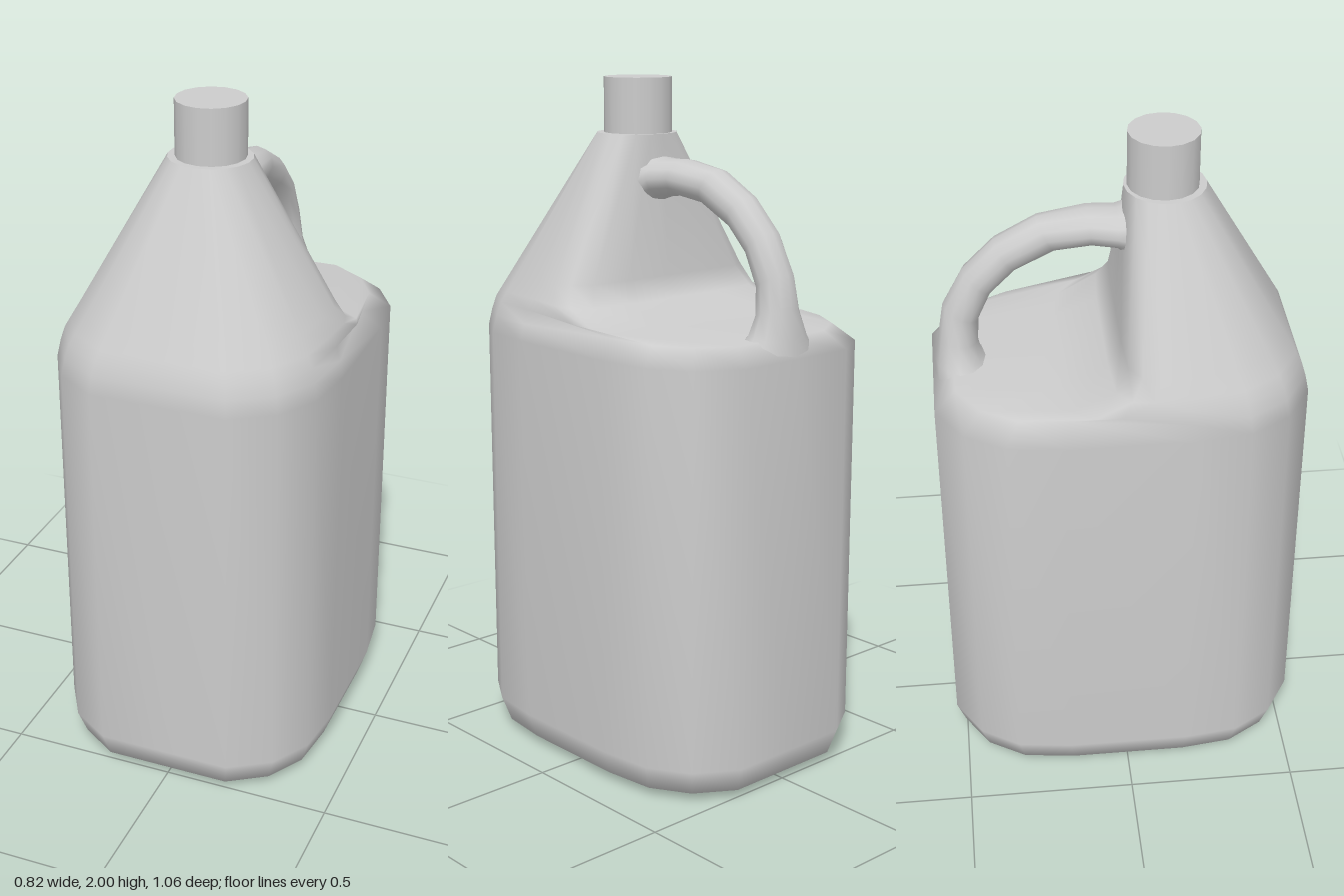
import * as THREE from 'three';

const material = new THREE.MeshStandardMaterial({ color: 0xcccccc });
const V = (x, y, z) => new THREE.Vector3(x, y, z);

// Skin closed rings (counter-clockwise about the path) and close both ends with hard-edged caps
function loft(rings) {
  const n = rings[0].length;
  const pos = [], index = [];
  rings.forEach((ring) => ring.forEach((p) => pos.push(p.x, p.y, p.z)));
  for (let j = 0; j < rings.length - 1; j++) {
    for (let i = 0; i < n; i++) {
      const k = (i + 1) % n;
      const a = j * n + i, b = j * n + k, c = a + n, d = b + n;
      index.push(a, b, c, b, d, c);
    }
  }
  [rings[0], rings[rings.length - 1]].forEach((ring, end) => {
    const start = pos.length / 3;
    const mid = V(0, 0, 0);
    ring.forEach((p) => { pos.push(p.x, p.y, p.z); mid.addScaledVector(p, 1 / n); });
    pos.push(mid.x, mid.y, mid.z);
    for (let i = 0; i < n; i++) {
      const a = start + i, b = start + (i + 1) % n;
      if (end) index.push(start + n, a, b);
      else index.push(start + n, b, a);
    }
  });
  const g = new THREE.BufferGeometry();
  g.setAttribute('position', new THREE.Float32BufferAttribute(pos, 3));
  g.setIndex(index);
  g.computeVertexNormals();
  return g;
}

// Complete a half ring (front to back on the +x side) by mirroring it
const mirrorRing = (half) =>
  [...half, ...half.slice(1, -1).reverse().map((p) => V(-p.x, p.y, p.z))];

// Half outline of the body, x and z from front to back
const outline = [[0, 0.53], [0.2, 0.53], [0.32, 0.455], [0.39, 0.34], [0.41, 0.18],
  [0.41, -0.18], [0.39, -0.34], [0.32, -0.455], [0.2, -0.53], [0, -0.53]];
const inset = (d, y) =>
  outline.map(([x, z]) => V(x * (1 - d / 0.41), y, z * (1 - d / 0.53)));

function bodyGeometry() {
  const mouth = outline.map((_, i) => {
    const a = (i / 9) * Math.PI;
    return V(0.12 * Math.sin(a), 1.84, 0.135 + 0.115 * Math.cos(a));
  });
  const shoulder = inset(0.022, 1.35);

  // Front columns rise steadily to the mouth
  const frontAt = (y) => shoulder.slice(0, 5).map((p, i) => p.clone().lerp(mouth[i], (y - 1.35) / 0.49));
  // Back columns run over the ledge, then up the wall behind the neck
  const ledgeRim = inset(0.06, 1.31).slice(5);
  const ledgeInner = [V(0.385, 1.335, -0.02), V(0.36, 1.32, -0.09), V(0.3, 1.31, -0.15), V(0.18, 1.31, -0.17), V(0, 1.31, -0.17)];
  const fillet = [V(0.375, 1.375, 0.07), V(0.36, 1.37, 0.01), V(0.31, 1.37, -0.03), V(0.17, 1.37, -0.04), V(0, 1.37, -0.04)];
  const wall = [V(0.35, 1.43, 0.09), V(0.335, 1.43, 0.04), V(0.28, 1.43, 0.005), V(0.15, 1.43, 0), V(0, 1.43, 0)];
  const frontLow = inset(0.01, 1.31).slice(0, 5);

  return loft([
    inset(0.1, 0), inset(0.025, 0.025), inset(0, 0.1), inset(0, 1.26),
    [...frontLow, ...ledgeRim],
    [...frontAt(1.35), ...ledgeInner],
    [...frontAt(1.38), ...fillet],
    [...frontAt(1.43), ...wall],
    mouth,
  ].map(mirrorRing));
}

// Handle stations: outer z, y, inner z, y, half width
const stations = [
  [0.06, 1.79, 0.06, 1.62, 0.1], [0, 1.77, 0, 1.66, 0.085], [-0.08, 1.775, -0.07, 1.67, 0.076],
  [-0.22, 1.755, -0.17, 1.655, 0.058], [-0.34, 1.69, -0.28, 1.6, 0.057],
  [-0.43, 1.6, -0.35, 1.53, 0.057], [-0.49, 1.49, -0.39, 1.44, 0.057],
  [-0.507, 1.39, -0.395, 1.37, 0.066], [-0.52, 1.31, -0.385, 1.32, 0.095],
  [-0.525, 1.25, -0.35, 1.28, 0.14],
];

function handleGeometry(sides = 12) {
  return loft(stations.map(([oz, oy, iz, iy, w]) => {
    const outer = V(0, oy, oz), center = V(0, (oy + iy) / 2, (oz + iz) / 2);
    const radial = outer.sub(center);
    return Array.from({ length: sides }, (_, i) => {
      const a = (i / sides) * Math.PI * 2;
      const p = center.clone().addScaledVector(radial, Math.cos(a));
      p.x = w * Math.sin(a);
      return p;
    });
  }));
}

export function createModel() {
  const group = new THREE.Group();
  group.name = 'jug';
  const add = (name, geometry) => {
    const mesh = new THREE.Mesh(geometry, material);
    mesh.name = name;
    group.add(mesh);
    return mesh;
  };
  add('body', bodyGeometry());
  add('handle', handleGeometry());
  add('cap', new THREE.CylinderGeometry(0.1, 0.1, 0.18, 16)).position.set(0, 1.91, 0.13);
  return group;
}
